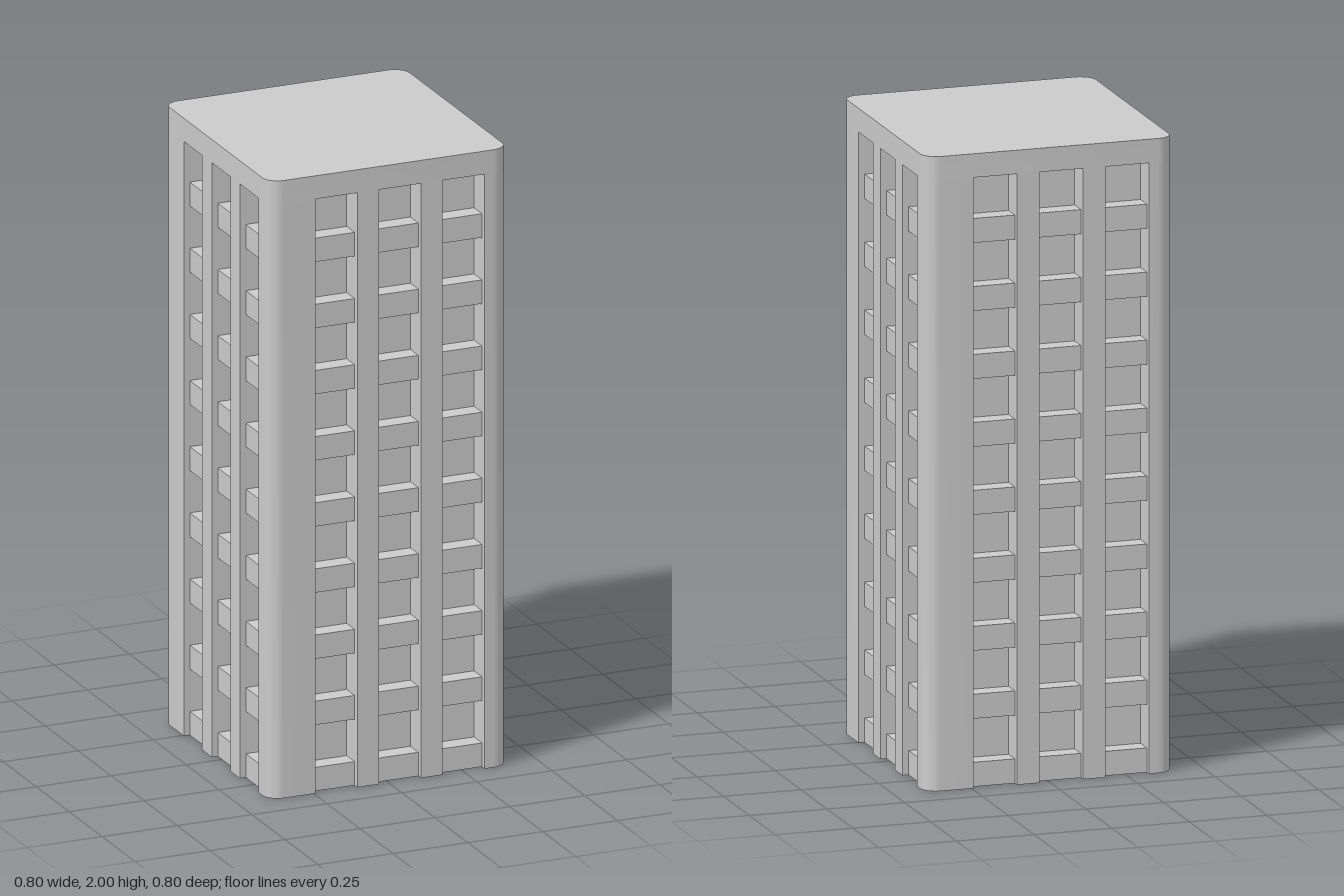
import * as THREE from 'three';
import { toCreasedNormals } from 'three/addons/utils/BufferGeometryUtils.js';

const HALF = 0.4, RADIUS = 0.05, HEIGHT = 2;
const GROOVE_W = 0.14, GROOVE_DEPTH = 0.08, GROOVE_TOP = 1.925;
const GROOVES = [0, 1, 2].map(i => -0.245 + i * 0.2125); // start of each groove along a face
const FLOORS = 9, FLOOR_STEP = 0.2142, BAND_H = 0.077, BAND_INSET = 0.02;

const material = new THREE.MeshStandardMaterial({ color: 0xcccccc });

// Rounded square plan, walked one side at a time, with optional grooves on every side
function plan(grooved) {
  const points = [];
  const pivot = new THREE.Vector2();
  for (let side = 0; side < 4; side++) {
    const add = (x, y) => points.push(new THREE.Vector2(x, y).rotateAround(pivot, side * Math.PI / 2));
    if (grooved) {
      for (const u of GROOVES) {
        add(u, -HALF);
        add(u, -HALF + GROOVE_DEPTH);
        add(u + GROOVE_W, -HALF + GROOVE_DEPTH);
        add(u + GROOVE_W, -HALF);
      }
    }
    for (let i = 0; i <= 10; i++) {
      const a = -Math.PI / 2 + (i / 10) * Math.PI / 2;
      add(HALF - RADIUS + RADIUS * Math.cos(a), -HALF + RADIUS + RADIUS * Math.sin(a));
    }
  }
  return new THREE.Shape(points);
}

// Upright prism between two heights
function prism(name, shape, y0, y1) {
  const geometry = new THREE.ExtrudeGeometry(shape, { depth: y1 - y0, bevelEnabled: false });
  geometry.rotateX(-Math.PI / 2).translate(0, y0, 0);
  const mesh = new THREE.Mesh(toCreasedNormals(geometry, 0.6), material);
  mesh.name = name;
  return mesh;
}

export function createModel() {
  const tower = new THREE.Group();
  tower.name = 'towerBlock';

  // Grooved shaft and plain roof slab
  tower.add(prism('shaft', plan(true), 0, GROOVE_TOP));
  tower.add(prism('roof', plan(false), GROOVE_TOP, HEIGHT));

  // Balcony bands set into the grooves, the same on all four sides
  const bandDepth = GROOVE_DEPTH - BAND_INSET;
  const bandGeometry = new THREE.BoxGeometry(GROOVE_W, BAND_H, bandDepth);
  for (let side = 0; side < 4; side++) {
    const balconies = new THREE.Group();
    balconies.name = 'balconies' + ['Front', 'Left', 'Back', 'Right'][side];
    balconies.rotation.y = side * Math.PI / 2;
    for (const u of GROOVES) {
      for (let f = 0; f < FLOORS; f++) {
        const band = new THREE.Mesh(bandGeometry, material);
        band.name = 'balcony';
        band.position.set(u + GROOVE_W / 2, f * FLOOR_STEP + BAND_H / 2, HALF - BAND_INSET - bandDepth / 2);
        balconies.add(band);
      }
    }
    tower.add(balconies);
  }
  return tower;
}
